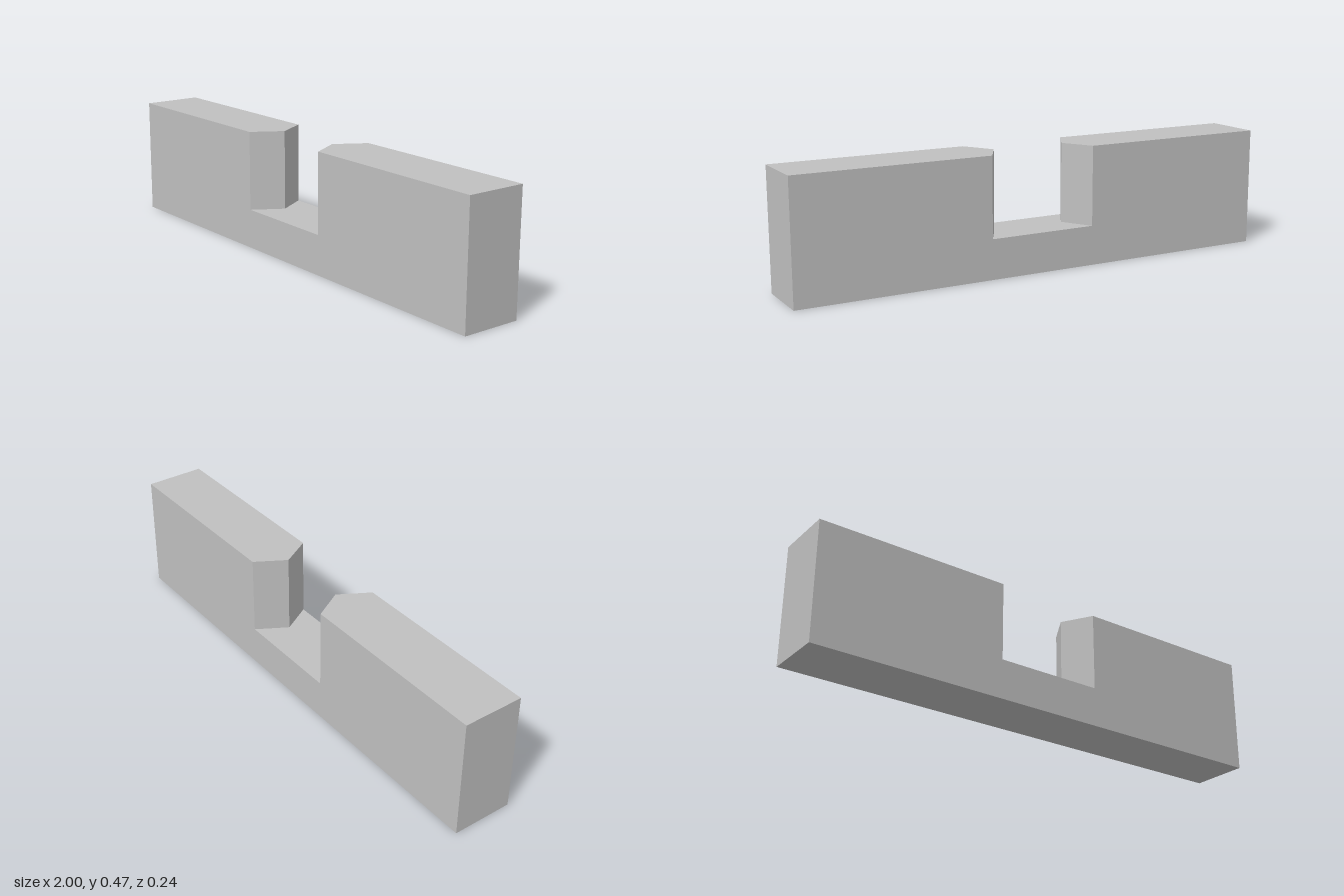
import * as THREE from 'three';

const HEIGHT = 0.475, BASE = 0.158, HALF_DEPTH = 0.12;

export function createModel() {
  const group = new THREE.Group();
  group.name = 'notchedBar';
  const grey = new THREE.MeshStandardMaterial({ color: 0xc0c0c0 });
  grey.name = 'grey';

  // Low bar joining the two blocks
  const base = new THREE.Mesh(new THREE.BoxGeometry(2, BASE, HALF_DEPTH * 2), grey);
  base.name = 'base';
  base.position.y = BASE / 2;
  group.add(base);

  // Upright blocks whose inner ends come to a vertical ridge
  for (const side of [1, -1]) {
    const plan = new THREE.Shape([
      [1, -HALF_DEPTH], [1, HALF_DEPTH], [0.22, HALF_DEPTH], [0.15, 0], [0.22, -HALF_DEPTH],
    ].map(([x, z]) => new THREE.Vector2(side * x, z)));
    const geometry = new THREE.ExtrudeGeometry(plan, { depth: HEIGHT - BASE, bevelEnabled: false });
    geometry.rotateX(-Math.PI / 2);
    const block = new THREE.Mesh(geometry, grey);
    block.name = side > 0 ? 'leftBlock' : 'rightBlock';
    block.position.y = BASE;
    group.add(block);
  }
  return group;
}
